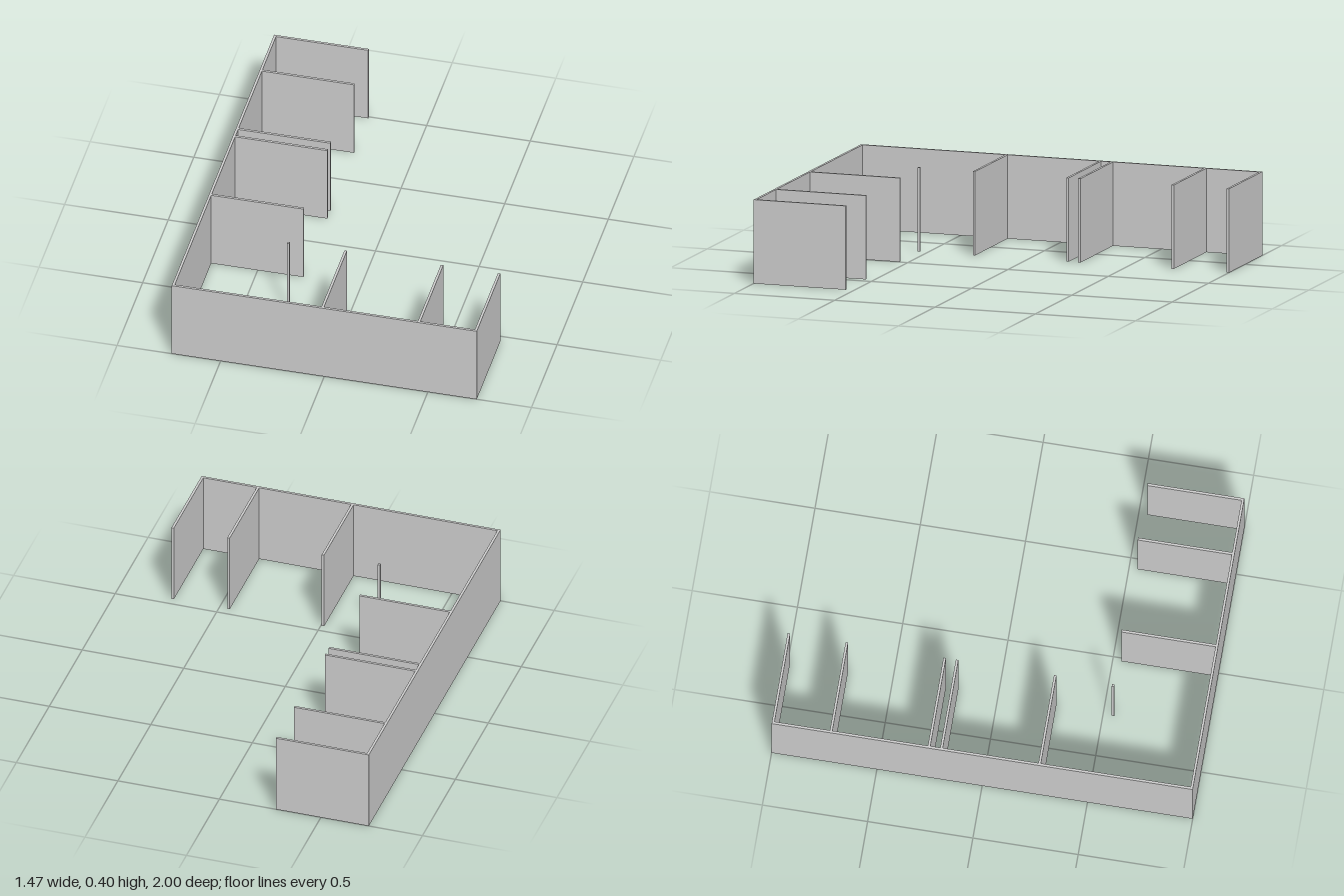
import * as THREE from 'three';

const H = 0.4;       // wall height
const T = 0.012;     // wall thickness
const X = 0.736;     // half width
const Z = 1;         // half depth
const INNER_X = -0.279; // free end of the side partitions
const INNER_Z = 0.541;  // free end of the front partitions

export function createModel() {
  const group = new THREE.Group();
  const material = new THREE.MeshStandardMaterial({ color: 0xcccccc, flatShading: true });

  // Upright slab spanning a rectangle of the floor plan
  function wall(name, x0, x1, z0, z1) {
    const mesh = new THREE.Mesh(new THREE.BoxGeometry(x1 - x0, H, z1 - z0), material);
    mesh.name = name;
    mesh.position.set((x0 + x1) / 2, H / 2, (z0 + z1) / 2);
    group.add(mesh);
  }

  // Two long outer walls forming an L
  wall('sideWall', -X, -X + T, -Z, Z);
  wall('frontWall', -X + T, X, Z - T, Z);

  // Partitions reaching inward from the side wall
  [-Z + T / 2, -0.719, -0.254, -0.195, 0.271].forEach((z, i) =>
    wall(`sidePartition${i + 1}`, -X + T, INNER_X, z - T / 2, z + T / 2));

  // Partitions reaching inward from the front wall
  [-0.01, 0.455, X - T / 2].forEach((x, i) =>
    wall(`frontPartition${i + 1}`, x - T / 2, x + T / 2, INNER_Z, Z - T));

  // Free-standing post at the inner corner
  wall('cornerPost', INNER_X - T, INNER_X, INNER_Z, INNER_Z + T);

  return group;
}
